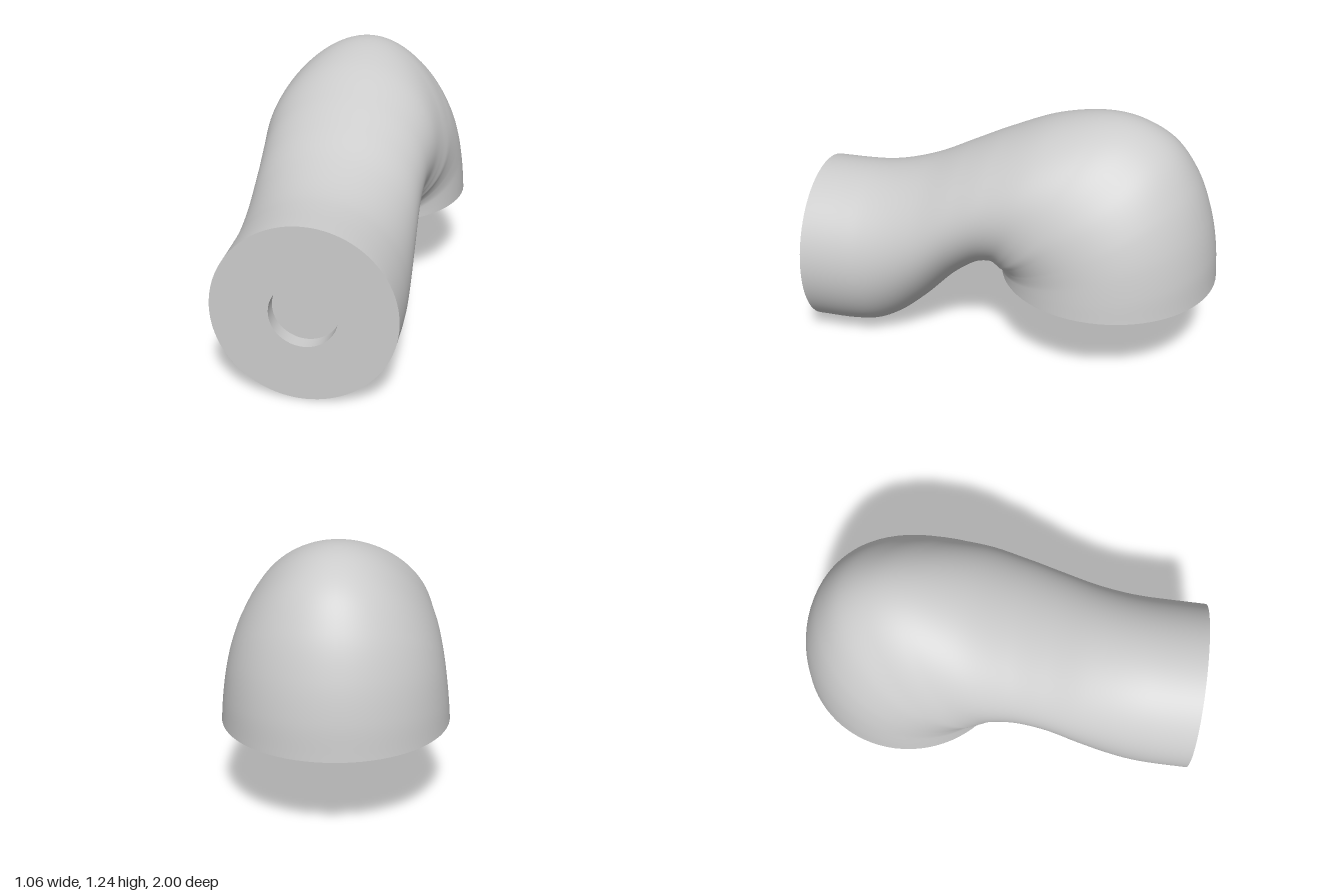
import * as THREE from 'three';

// Section stations: top z, top y, bottom z, bottom y, half width, narrowing towards the top
const STATIONS = [
  [1, 0.84, 1, 0, 0.42, 0],
  [0.8, 0.841, 0.8, 0.001, 0.42, 0],
  [0.69, 0.85, 0.69, 0.018, 0.416, 0],
  [0.57, 0.875, 0.58, 0.075, 0.41, 0],
  [0.42, 0.925, 0.45, 0.185, 0.404, 0],
  [0.24, 1.01, 0.28, 0.357, 0.4, 0],
  [0.05, 1.1, 0.16, 0.445, 0.408, 0.02],
  [-0.2, 1.2, 0.1, 0.465, 0.427, 0.08],
  [-0.45, 1.24, 0.08, 0.46, 0.443, 0.17],
  [-0.62, 1.21, 0.073, 0.455, 0.46, 0.18],
  [-0.77, 1.12, 0.07, 0.452, 0.478, 0.12],
  [-0.88, 0.965, 0.067, 0.447, 0.497, 0.04],
  [-0.95, 0.78, 0.063, 0.44, 0.512, 0],
  [-0.987, 0.6, 0.061, 0.435, 0.523, 0],
  [-1, 0.43, 0.06, 0.43, 0.53, 0],
];

// Egg-shaped sections swept from the upright neck end round to the flat base
function elbowGeometry(rows, sides) {
  // x of the top curve carries the half width, x of the bottom curve the narrowing
  const top = new THREE.CatmullRomCurve3(STATIONS.map(s => new THREE.Vector3(s[4], s[1], s[0])));
  const bottom = new THREE.CatmullRomCurve3(STATIONS.map(s => new THREE.Vector3(s[5], s[3], s[2])));
  const positions = [], indices = [];
  for (let i = 0; i <= rows; i++) {
    const t = top.getPoint(i / rows), b = bottom.getPoint(i / rows);
    for (let j = 0; j < sides; j++) {
      const a = (j / sides) * Math.PI * 2, k = (1 + Math.cos(a)) / 2;
      const x = t.x * Math.sin(a) * (1 - b.x * Math.cos(a));
      positions.push(x, b.y + (t.y - b.y) * k, b.z + (t.z - b.z) * k);
      if (i === rows) continue;
      const p = i * sides + j, q = i * sides + (j + 1) % sides;
      indices.push(p, q, p + sides, q, q + sides, p + sides);
    }
  }
  const geometry = new THREE.BufferGeometry();
  geometry.setAttribute('position', new THREE.Float32BufferAttribute(positions, 3));
  geometry.setIndex(indices);
  geometry.computeVertexNormals();
  return geometry;
}

export function createModel() {
  const group = new THREE.Group();
  const grey = new THREE.MeshStandardMaterial({ color: 0xcccccc });
  grey.name = 'grey';
  const inner = new THREE.MeshStandardMaterial({ color: 0xcccccc, side: THREE.BackSide });
  inner.name = 'grey inside';

  const add = (name, geometry, x, y, z, material = grey) => {
    const mesh = new THREE.Mesh(geometry, material);
    mesh.name = name;
    mesh.position.set(x, y, z);
    group.add(mesh);
  };

  add('elbowBody', elbowGeometry(112, 80), 0, 0, 0);

  // Neck end face with a round socket
  const socketRadius = 0.155, socketDepth = 0.07;
  add('neckFace', new THREE.RingGeometry(socketRadius, 0.42, 80), 0, 0.42, 1);
  add('socketWall', new THREE.CylinderGeometry(socketRadius, socketRadius, socketDepth, 64, 1, true)
    .rotateX(Math.PI / 2), 0, 0.42, 1 - socketDepth / 2, inner);
  add('socketFloor', new THREE.CircleGeometry(socketRadius, 64), 0, 0.42, 1 - socketDepth);

  // Flat base with a round peg
  add('baseFace', new THREE.CircleGeometry(0.53, 80).rotateX(Math.PI / 2), 0, 0.43, -0.47);
  add('peg', new THREE.CylinderGeometry(0.153, 0.153, 0.09, 64), 0, 0.405, -0.467);

  return group;
}
